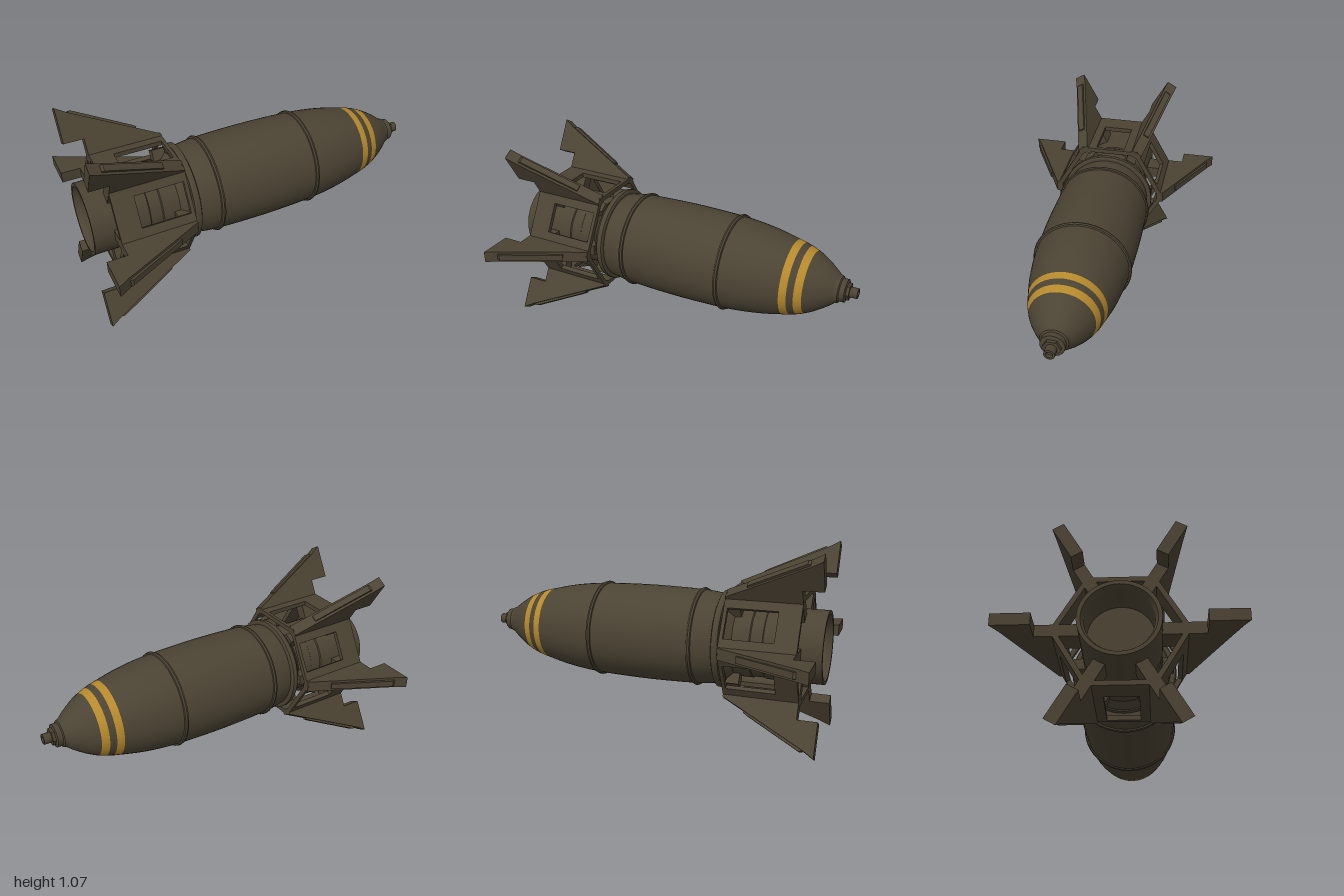
import * as THREE from 'three';
import { toCreasedNormals } from 'three/addons/utils/BufferGeometryUtils.js';

const olive = new THREE.MeshStandardMaterial({ color: 0x4b4333 });
olive.name = 'olive drab';
const yellow = new THREE.MeshStandardMaterial({ color: 0xb5892c });
yellow.name = 'marking yellow';

const SIDES = 48;

// Turned part around the x axis from [x, radius] pairs, listed tail to nose
function turned(name, pairs, material = olive, sides = SIDES, crease = 0.4) {
  const pts = pairs.map(([x, r]) => new THREE.Vector2(r, x));
  const geo = new THREE.LatheGeometry(pts, sides).rotateZ(-Math.PI / 2);
  const mesh = new THREE.Mesh(toCreasedNormals(geo, crease), material);
  mesh.name = name;
  return mesh;
}

function polygon(points) {
  return new THREE.Shape(points.map(([x, y]) => new THREE.Vector2(x, y)));
}

// Slab of the given thickness, centred on its own plane
function slab(name, shape, thickness) {
  const geo = new THREE.ExtrudeGeometry(shape, { depth: thickness, bevelEnabled: false });
  geo.translate(0, 0, -thickness / 2);
  const mesh = new THREE.Mesh(geo, olive);
  mesh.name = name;
  return mesh;
}

// Hull outline and its smooth radius
const hull = new THREE.SplineCurve([
  [-0.42, 0.25], [-0.3, 0.265], [0, 0.272], [0.29, 0.264], [0.48, 0.243], [0.63, 0.211],
  [0.7, 0.192], [0.77, 0.162], [0.84, 0.118], [0.89, 0.078],
].map(([x, r]) => new THREE.Vector2(x, r)));
const hullPoints = hull.getPoints(90);
function radiusAt(x) {
  const i = Math.max(1, hullPoints.findIndex((p) => p.x >= x - 1e-6));
  const a = hullPoints[i - 1], b = hullPoints[i];
  return a.y + (b.y - a.y) * (x - a.x) / (b.x - a.x);
}
function hullSection(name, x0, x1, material) {
  const n = Math.max(3, Math.ceil((x1 - x0) / 0.035));
  const pairs = [];
  for (let i = 0; i <= n; i++) {
    const x = x0 + (x1 - x0) * i / n;
    pairs.push([x, radiusAt(x)]);
  }
  return turned(name, pairs, material, SIDES, 0.5);
}

function createFin() {
  const fin = new THREE.Group();
  fin.name = 'fin';
  // Swept blade with a rear leg reaching the tail tube
  fin.add(slab('finBlade', polygon([
    [-1, 0.41], [-0.89, 0.41], [-0.89, 0.19], [-0.77, 0.19], [-0.77, 0.3],
    [-0.48, 0.3], [-0.48, 0.335], [-0.94, 0.565], [-1, 0.602],
  ]), 0.064));
  // Raised rib along the leading edge
  fin.add(slab('finRib', polygon([
    [-0.93, 0.55], [-0.61, 0.385], [-0.6, 0.405], [-0.62, 0.418], [-0.92, 0.571], [-0.935, 0.568],
  ]), 0.036));
  // Front bracket on the tail tube
  fin.add(slab('finBracket', polygon([
    [-0.555, 0.19], [-0.485, 0.19], [-0.485, 0.258], [-0.555, 0.258],
  ]), 0.06));
  return fin;
}

function createPanel() {
  // Flat side of the six-sided tail frame, with a window
  const w = 0.168;
  const shape = polygon([[-0.89, -w], [-0.48, -w], [-0.48, w], [-0.89, w]]);
  const win = new THREE.Path();
  win.moveTo(-0.77, -0.085);
  win.lineTo(-0.77, 0.085);
  win.lineTo(-0.5, 0.085);
  win.lineTo(-0.5, -0.085);
  win.closePath();
  shape.holes.push(win);
  const panel = slab('tailFramePanel', shape, 0.026);
  panel.geometry.rotateX(-Math.PI / 2).translate(0, 0.282, 0);
  return panel;
}

export function createModel() {
  const model = new THREE.Group();
  model.name = 'bomb';
  const body = new THREE.Group();
  body.name = 'body';
  body.position.y = 0.537;
  model.add(body);

  // Hull split at the painted stripes
  const cuts = [-0.42, 0.63, 0.67, 0.705, 0.745, 0.89];
  for (let i = 0; i < cuts.length - 1; i++) {
    const stripe = i % 2 === 1;
    body.add(hullSection(stripe ? 'noseStripe' : 'hull', cuts[i], cuts[i + 1], stripe ? yellow : olive));
  }

  // Two raised hoops
  for (const x of [-0.3, 0.287]) {
    const r = radiusAt(x);
    body.add(turned('hoop', [
      [x - 0.014, r - 0.005], [x - 0.01, r + 0.008], [x, r + 0.012], [x + 0.01, r + 0.008], [x + 0.014, r - 0.005],
    ]));
  }

  // Nose fuze
  body.add(turned('fuzeCollar', [
    [0.875, 0.07], [0.88, 0.082], [0.905, 0.074], [0.91, 0.064], [0.938, 0.064], [0.942, 0.045], [0.942, 0],
  ], olive, 32));
  body.add(turned('fuzeNut', [[0.93, 0.048], [0.958, 0.048], [0.958, 0]], olive, 6));
  body.add(turned('fuzeTip', [[0.95, 0.029], [1, 0.029], [1, 0.018], [0.985, 0.015], [0.985, 0]], olive, 16));

  // Hollow tail tube with stepped bands
  body.add(turned('tailTube', [
    [-0.82, 0], [-0.82, 0.165], [-0.97, 0.165], [-1, 0.18], [-1, 0.2], [-0.69, 0.2], [-0.685, 0.194],
    [-0.62, 0.194], [-0.615, 0.2], [-0.52, 0.2], [-0.49, 0.23], [-0.46, 0.236],
  ]));

  // Flange joining tail and hull
  body.add(turned('flange', [
    [-0.485, 0.2], [-0.485, 0.238], [-0.462, 0.24], [-0.462, 0.266], [-0.45, 0.272], [-0.43, 0.272],
    [-0.425, 0.262], [-0.425, 0.248], [-0.41, 0.248],
  ]));

  // Six fins on the corners, six panels between them
  for (let i = 0; i < 6; i++) {
    const fin = createFin();
    fin.rotation.x = Math.PI / 6 + i * Math.PI / 3;
    const panel = createPanel();
    panel.rotation.x = i * Math.PI / 3;
    body.add(fin, panel);
  }
  return model;
}
